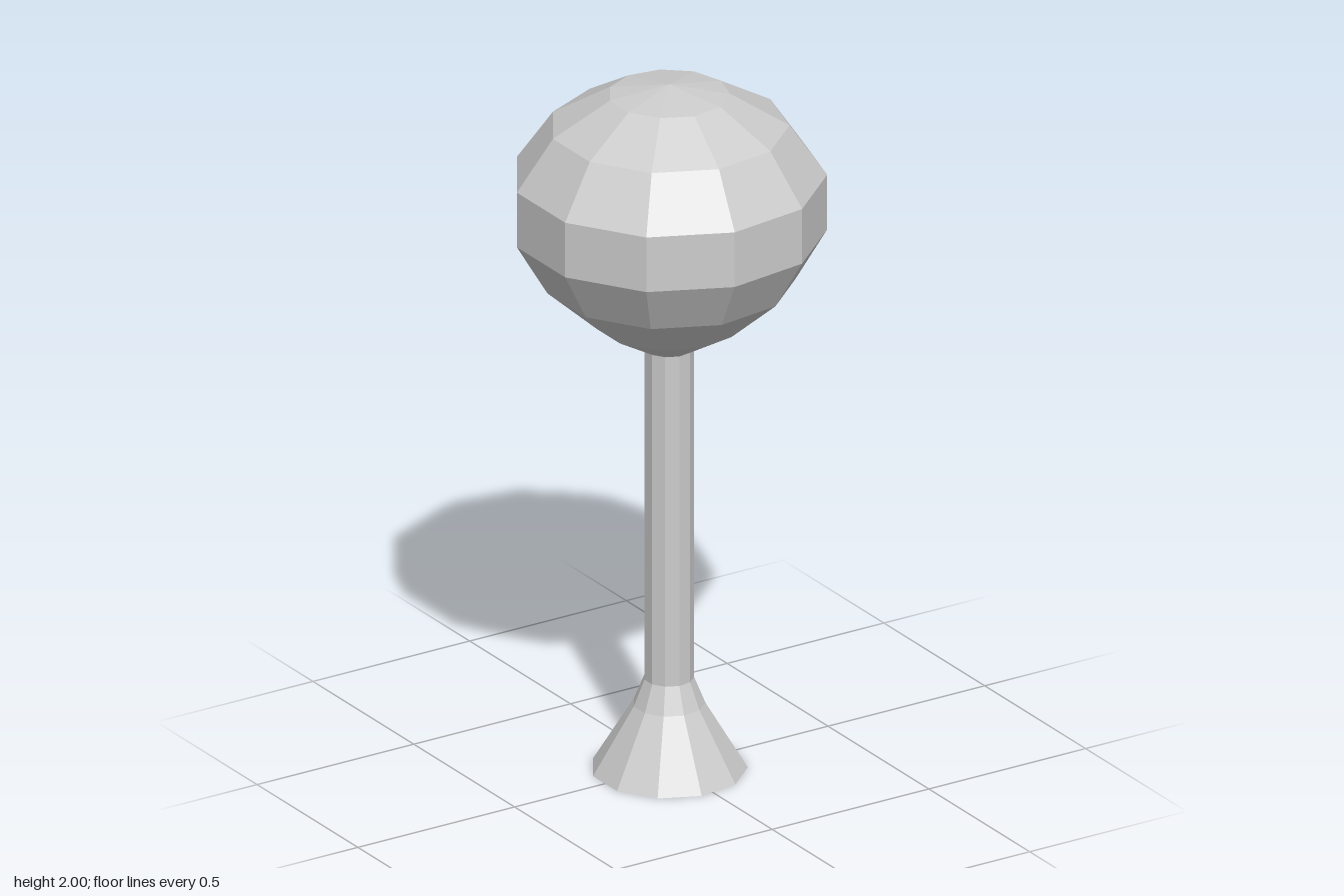
import * as THREE from 'three';

const SIDES = 11;
const STEM_RADIUS = 0.068;

const material = new THREE.MeshStandardMaterial({
  color: 0xcccccc, flatShading: true, side: THREE.DoubleSide,
});

// Faceted part turned from a [radius, height] profile, with a corner on +x
function turned(name, profile) {
  const points = profile.map(([r, y]) => new THREE.Vector2(r, y));
  const mesh = new THREE.Mesh(new THREE.LatheGeometry(points, SIDES, Math.PI / 2), material);
  mesh.name = name;
  return mesh;
}

export function createModel() {
  const group = new THREE.Group();
  group.name = 'ballPost';

  // Flared foot, open underneath
  const foot = turned('foot', [[0.212, 0], [0.098, 0.19], [STEM_RADIUS, 0.265]]);

  // Slim straight stem
  const stem = turned('stem', [[STEM_RADIUS, 0.265], [STEM_RADIUS, 1.23]]);

  // Round head that narrows to the stem
  const head = turned('head', [
    [STEM_RADIUS, 1.23], [0.2, 1.307], [0.34, 1.43], [0.425, 1.575],
    [0.425, 1.735], [0.324, 1.88], [0.165, 1.972], [0, 2],
  ]);

  group.add(foot, stem, head);
  // An odd number of sides is wider towards its corner, so shift to centre it
  group.children.forEach((part) => { part.position.x = -0.008; });
  return group;
}
